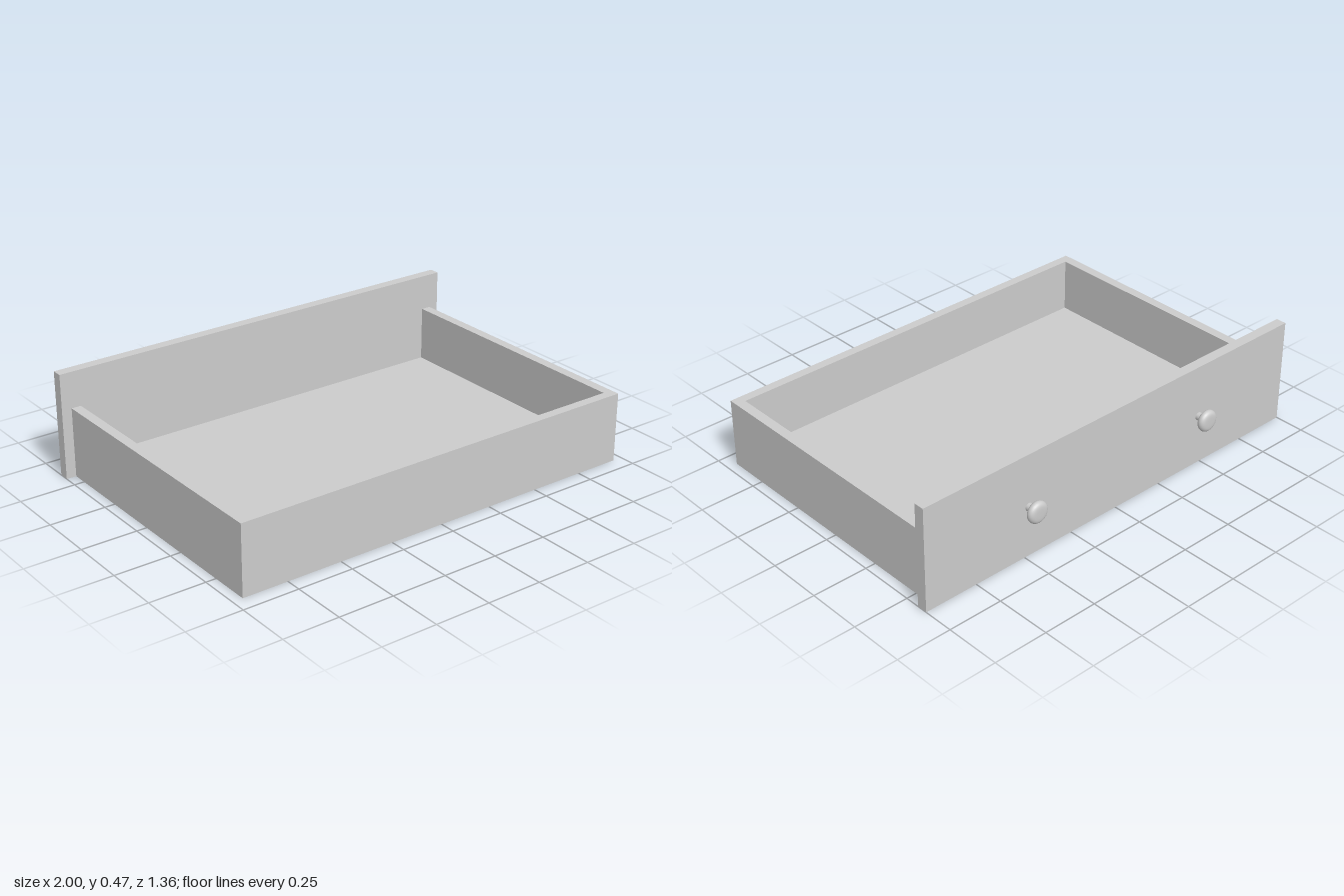
import * as THREE from 'three';

export function createModel() {
  const model = new THREE.Group();
  model.name = 'drawer';
  const mat = new THREE.MeshStandardMaterial({ color: 0xcccccc });

  const add = (name, geometry, x = 0, y = 0, z = 0, parent = model) => {
    const mesh = new THREE.Mesh(geometry, mat);
    mesh.name = name;
    mesh.position.set(x, y, z);
    parent.add(mesh);
    return mesh;
  };

  const panelOuter = -0.613, panelInner = -0.566, boxEnd = 0.68;
  const outerX = 0.955, innerX = 0.911, innerEnd = 0.638;
  const wallTop = 0.313, floorTop = 0.066;

  // Three walls as one U-shaped extrusion, open towards the face panel
  const u = new THREE.Shape([
    [-outerX, panelInner], [-innerX, panelInner], [-innerX, innerEnd], [innerX, innerEnd],
    [innerX, panelInner], [outerX, panelInner], [outerX, boxEnd], [-outerX, boxEnd],
  ].map(([x, z]) => new THREE.Vector2(x, z)));
  const walls = new THREE.ExtrudeGeometry(u, { depth: wallTop, bevelEnabled: false });
  walls.rotateX(Math.PI / 2);
  add('walls', walls, 0, wallTop, 0);

  // Floor between the walls
  add('floor', new THREE.BoxGeometry(innerX * 2, floorTop, innerEnd - panelInner),
    0, floorTop / 2, (innerEnd + panelInner) / 2);

  // Overhanging face panel
  add('facePanel', new THREE.BoxGeometry(2, 0.475, panelInner - panelOuter),
    0, 0.475 / 2, (panelInner + panelOuter) / 2);

  // Knobs: a straight stem and a rounded, flattened head
  const headProfile = new THREE.SplineCurve([
    [0, 0.027], [0.03, 0.028], [0.044, 0.035], [0.049, 0.047],
    [0.044, 0.059], [0.03, 0.066], [0, 0.067],
  ].map(([r, h]) => new THREE.Vector2(r, h))).getPoints(18);
  headProfile.forEach((p) => { p.x = Math.max(p.x, 0); });

  for (const side of [-1, 1]) {
    const knob = new THREE.Group();
    knob.name = side > 0 ? 'leftKnob' : 'rightKnob';
    knob.position.set(side * 0.478, 0.233, panelOuter);
    knob.rotation.x = -Math.PI / 2;
    add('stem', new THREE.CylinderGeometry(0.018, 0.018, 0.034, 20), 0, 0.015, 0, knob);
    add('head', new THREE.LatheGeometry(headProfile, 24), 0, 0, 0, knob);
    model.add(knob);
  }
  return model;
}
